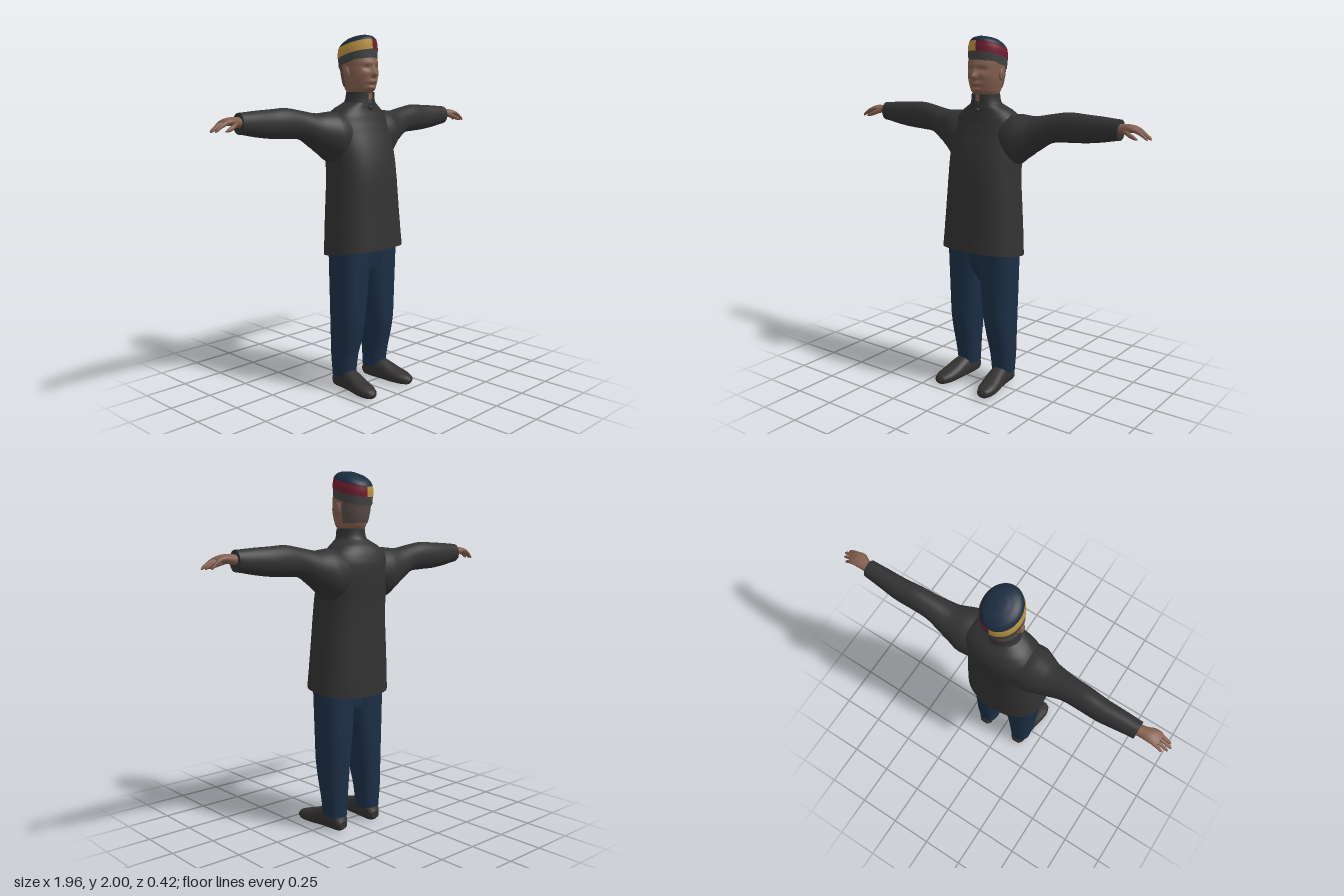
import * as THREE from 'three';

const mat = (name, color, side = THREE.FrontSide) => {
  const m = new THREE.MeshStandardMaterial({ color, side });
  m.name = name;
  return m;
};

// Catmull-Rom value between b and c.
const spline = (a, b, c, d, t) => {
  const cubic = 3 * (b - c) + d - a;
  const square = 2 * a - 5 * b + 4 * c - d;
  return b + 0.5 * t * (c - a + t * (square + t * cubic));
};

// Smoothly resample rows of section numbers; the first column stays linear.
function resample(rows, steps) {
  const out = [], last = rows.length - 1;
  for (let i = 0; i < last; i++) {
    const a = rows[Math.max(i - 1, 0)], b = rows[i], c = rows[i + 1], d = rows[Math.min(i + 2, last)];
    for (let s = 0; s < steps; s++) {
      const t = s / steps;
      out.push(b.map((v, k) => (k === 0 ? v + (c[0] - v) * t : spline(a[k], v, c[k], d[k], t))));
    }
  }
  out.push(rows[last]);
  return out;
}

// Loft oval sections along an axis. Row: [position, centreU, centreV, radiusU, radiusV].
// Axes (u, v): along x = (z, y), along y = (x, z), along z = (y, x).
function loft(axis, rows, { seg = 32, steps = 4, power = 2, arc = null, cap = true, bend = null } = {}) {
  const pos = [], index = [], p = new THREE.Vector3();
  const [t0, t1] = arc || [0, Math.PI * 2];
  const cols = arc ? seg + 1 : seg;
  const round = (v) => Math.sign(v) * Math.pow(Math.abs(v), 2 / power);
  const place = (w, u, v) => {
    if (axis === 'x') p.set(w, v, u);
    else if (axis === 'y') p.set(u, w, v);
    else p.set(v, u, w);
    if (bend) bend(p);
    pos.push(p.x, p.y, p.z);
  };
  const rings = resample(rows, steps);
  for (const [w, cu, cv, ru, rv] of rings) {
    for (let j = 0; j < cols; j++) {
      const t = t0 + (t1 - t0) * j / seg;
      place(w, cu + ru * round(Math.cos(t)), cv + rv * round(Math.sin(t)));
    }
  }
  for (let i = 0; i < rings.length - 1; i++) {
    for (let j = 0; j < seg; j++) {
      const a = i * cols + j, b = i * cols + (j + 1) % cols;
      index.push(a, a + cols, b, b, a + cols, b + cols);
    }
  }
  // End caps have their own rim so the edge stays sharp.
  if (cap && !arc) {
    for (const end of [0, rings.length - 1]) {
      const base = pos.length / 3, start = end * cols * 3;
      pos.push(...pos.slice(start, start + cols * 3));
      place(rings[end][0], rings[end][1], rings[end][2]);
      for (let j = 0; j < cols; j++) {
        const a = base + j, b = base + (j + 1) % cols;
        index.push(...(end ? [a, base + cols, b] : [b, base + cols, a]));
      }
    }
  }
  const g = new THREE.BufferGeometry();
  g.setAttribute('position', new THREE.Float32BufferAttribute(pos, 3));
  g.setIndex(index);
  g.computeVertexNormals();
  return g;
}

// Mirror a geometry across x = 0, keeping its faces outward.
function mirrored(geometry) {
  const g = geometry.clone();
  const p = g.attributes.position, idx = g.index.array;
  for (let i = 0; i < p.count; i++) p.setX(i, -p.getX(i));
  for (let i = 0; i < idx.length; i += 3) [idx[i], idx[i + 1]] = [idx[i + 1], idx[i]];
  g.computeVertexNormals();
  return g;
}

export function createModel() {
  const model = new THREE.Group();
  model.name = 'standingMan';
  const cloth = mat('tunicCharcoal', 0x323232, THREE.DoubleSide);
  const denim = mat('trouserBlue', 0x1c2f46);
  const skin = mat('skin', 0x85604f);
  const hairMat = mat('hairGrey', 0x5a4c47, THREE.DoubleSide);
  const red = mat('bandRed', 0x701c30, THREE.DoubleSide);
  const yellow = mat('bandYellow', 0xb8923f, THREE.DoubleSide);
  const grey = mat('bandGrey', 0x444343, THREE.DoubleSide);
  const hatBlue = mat('hatBlue', 0x1b2c3f);
  const leather = mat('shoeDark', 0x343231);

  const add = (name, geometry, material) => {
    const m = new THREE.Mesh(geometry, material);
    m.name = name;
    model.add(m);
  };
  const pair = (name, geometry, material) => {
    add('left' + name, geometry, material);
    add('right' + name, mirrored(geometry), material);
  };

  // Tunic body, hem dropping towards the back
  const dropHem = (p) => { p.y += 0.15 * (p.z + 0.02) * Math.max(0, 1 - (p.y - 0.8) / 0.25); };
  add('tunicBody', loft('y', [
    [0.80, 0, -0.02, 0.243, 0.18], [0.9, 0, -0.024, 0.237, 0.176], [1.0, 0, -0.027, 0.23, 0.172],
    [1.2, 0, -0.032, 0.215, 0.167], [1.3, 0, -0.04, 0.212, 0.162], [1.4, 0, -0.056, 0.213, 0.153],
    [1.5, 0, -0.073, 0.208, 0.136], [1.56, 0, -0.075, 0.19, 0.118], [1.6, 0, -0.068, 0.145, 0.1],
    [1.63, 0, -0.052, 0.095, 0.083], [1.65, 0, -0.047, 0.07, 0.07],
  ], { seg: 48, power: 2.3, bend: dropHem }), cloth);

  // Standing collar with a gap at the throat, and its button
  add('collar', loft('y', [
    [1.61, 0, -0.052, 0.1, 0.09], [1.65, 0, -0.046, 0.083, 0.082], [1.69, 0, -0.044, 0.077, 0.08],
  ], { arc: [Math.PI / 2 + 0.17, Math.PI * 2.5 - 0.17] }), cloth);
  add('collarButton', new THREE.SphereGeometry(0.012, 12, 8).translate(0, 1.605, 0.036), leather);

  // Sleeves
  pair('Sleeve', loft('x', [
    [0.1, -0.075, 1.45, 0.115, 0.125], [0.2, -0.075, 1.446, 0.122, 0.14], [0.25, -0.082, 1.462, 0.106, 0.12],
    [0.3, -0.09, 1.479, 0.088, 0.1], [0.4, -0.095, 1.518, 0.067, 0.078], [0.5, -0.1, 1.531, 0.062, 0.08],
    [0.6, -0.105, 1.531, 0.058, 0.075], [0.7, -0.102, 1.535, 0.052, 0.066], [0.8, -0.1, 1.54, 0.046, 0.054],
  ]), cloth);

  // Hands: palm, four drooping fingers and a thumb
  pair('Palm', loft('x', [
    [0.78, -0.098, 1.545, 0.03, 0.027], [0.82, -0.097, 1.548, 0.031, 0.025], [0.86, -0.092, 1.553, 0.039, 0.021],
    [0.89, -0.091, 1.55, 0.04, 0.017], [0.91, -0.091, 1.544, 0.036, 0.012],
  ], { seg: 20 }), skin);
  [[-0.121, 0.945], [-0.102, 0.968], [-0.082, 0.978], [-0.063, 0.965]].forEach(([z, tip], i) => {
    const l = tip - 0.89;
    pair('Finger' + (i + 1), loft('x', [
      [0.89, z, 1.549, 0.0105, 0.012], [0.89 + l * 0.5, z, 1.533, 0.0095, 0.0105],
      [0.89 + l * 0.9, z, 1.513, 0.008, 0.008], [tip, z, 1.507, 0.003, 0.003],
    ], { seg: 10, steps: 3 }), skin);
  });
  pair('Thumb', loft('x', [
    [0.83, -0.075, 1.542, 0.015, 0.015], [0.865, -0.055, 1.527, 0.014, 0.013],
    [0.9, -0.046, 1.514, 0.01, 0.01], [0.918, -0.046, 1.508, 0.003, 0.003],
  ], { seg: 10 }), skin);

  // Head and neck, with the features pushed out of or into the face
  const bumps = [ // x, y, width, height, push
    [0, 1.787, 0.014, 0.017, 0.028], [0, 1.815, 0.01, 0.02, 0.012], [0, 1.747, 0.03, 0.013, 0.013],
    [0, 1.712, 0.03, 0.014, 0.012], [0.04, 1.822, 0.018, 0.012, -0.011], [0.05, 1.79, 0.02, 0.016, 0.004],
    [0, 1.848, 0.06, 0.012, 0.005], [0, 1.73, 0.03, 0.006, -0.004],
  ];
  const sculptFace = (p) => {
    if (p.z < -0.02) return;
    for (const [x, y, width, height, push] of bumps) {
      const dx = (Math.abs(p.x) - x) / width, dy = (p.y - y) / height;
      p.z += push * Math.exp(-dx * dx - dy * dy);
    }
  };
  add('head', loft('y', [
    [1.58, 0, -0.05, 0.066, 0.068], [1.66, 0, -0.045, 0.066, 0.068], [1.685, 0, -0.047, 0.07, 0.073],
    [1.705, 0, -0.045, 0.079, 0.088], [1.74, 0, -0.046, 0.089, 0.1], [1.78, 0, -0.047, 0.097, 0.106],
    [1.83, 0, -0.052, 0.1, 0.109], [1.88, 0, -0.058, 0.099, 0.106], [1.93, 0, -0.06, 0.07, 0.075],
  ], { seg: 80, steps: 8, bend: sculptFace }), skin);
  const ear = new THREE.SphereGeometry(1, 16, 12).scale(0.011, 0.034, 0.021).rotateX(-0.15);
  pair('Ear', ear.translate(0.101, 1.795, -0.05), skin);
  add('hair', loft('y', [
    [1.72, 0, -0.047, 0.086, 0.096], [1.74, 0, -0.047, 0.092, 0.103], [1.78, 0, -0.048, 0.1, 0.109],
    [1.83, 0, -0.053, 0.103, 0.111], [1.87, 0, -0.058, 0.102, 0.109],
  ], { arc: [Math.PI * 1.09, Math.PI * 1.91] }), hairMat);

  // Cap, sheared so that it sits lower at the back
  const slope = (p) => { p.y += 0.29 * (p.z + 0.06); };
  const quarter = Math.PI / 2;
  add('capLowerBand', loft('y', [
    [1.843, 0, -0.06, 0.103, 0.111], [1.892, 0, -0.062, 0.106, 0.114],
  ], { seg: 48, steps: 2, cap: false, bend: slope }), grey);
  const upper = [[1.89, 0, -0.062, 0.107, 0.115], [1.92, 0, -0.064, 0.106, 0.115], [1.946, 0, -0.065, 0.1, 0.112]];
  add('capRedBand', loft('y', upper, { arc: [-quarter, quarter], bend: slope }), red);
  add('capYellowBand', loft('y', upper, { arc: [quarter, 3 * quarter], bend: slope }), yellow);
  add('capCrown', loft('y', [
    [1.90, 0, -0.063, 0.1, 0.109], [1.946, 0, -0.065, 0.099, 0.111], [1.967, 0, -0.066, 0.085, 0.096],
    [1.982, 0, -0.067, 0.06, 0.066], [1.99, 0, -0.067, 0.025, 0.028], [1.991, 0, -0.067, 0.002, 0.002],
  ], { bend: slope }), hatBlue);

  // Trousers
  pair('TrouserLeg', loft('y', [
    [0.08, 0.125, -0.052, 0.064, 0.067], [0.2, 0.126, -0.047, 0.071, 0.079], [0.3, 0.123, -0.036, 0.079, 0.093],
    [0.4, 0.119, -0.029, 0.088, 0.102], [0.6, 0.111, -0.027, 0.104, 0.106], [0.85, 0.109, -0.025, 0.113, 0.11],
  ], { power: 2.3 }), denim);
  add('trouserSeat', loft('y', [
    [0.63, 0, -0.03, 0.03, 0.05], [0.7, 0, -0.028, 0.13, 0.085], [0.85, 0, -0.025, 0.19, 0.1],
  ]), denim);

  // Shoes, flat underneath and turned slightly out
  const flatten = (p) => { p.y = Math.max(p.y, 0); };
  pair('Shoe', loft('z', [
    [-0.125, 0.035, 0.125, 0.022, 0.028], [-0.105, 0.048, 0.125, 0.05, 0.045], [-0.03, 0.06, 0.128, 0.064, 0.052],
    [0.03, 0.054, 0.134, 0.058, 0.054], [0.1, 0.04, 0.143, 0.044, 0.057], [0.16, 0.032, 0.15, 0.034, 0.052],
    [0.2, 0.027, 0.153, 0.024, 0.034], [0.213, 0.025, 0.153, 0.008, 0.012],
  ], { power: 2.3, bend: flatten }), leather);

  return model;
}
